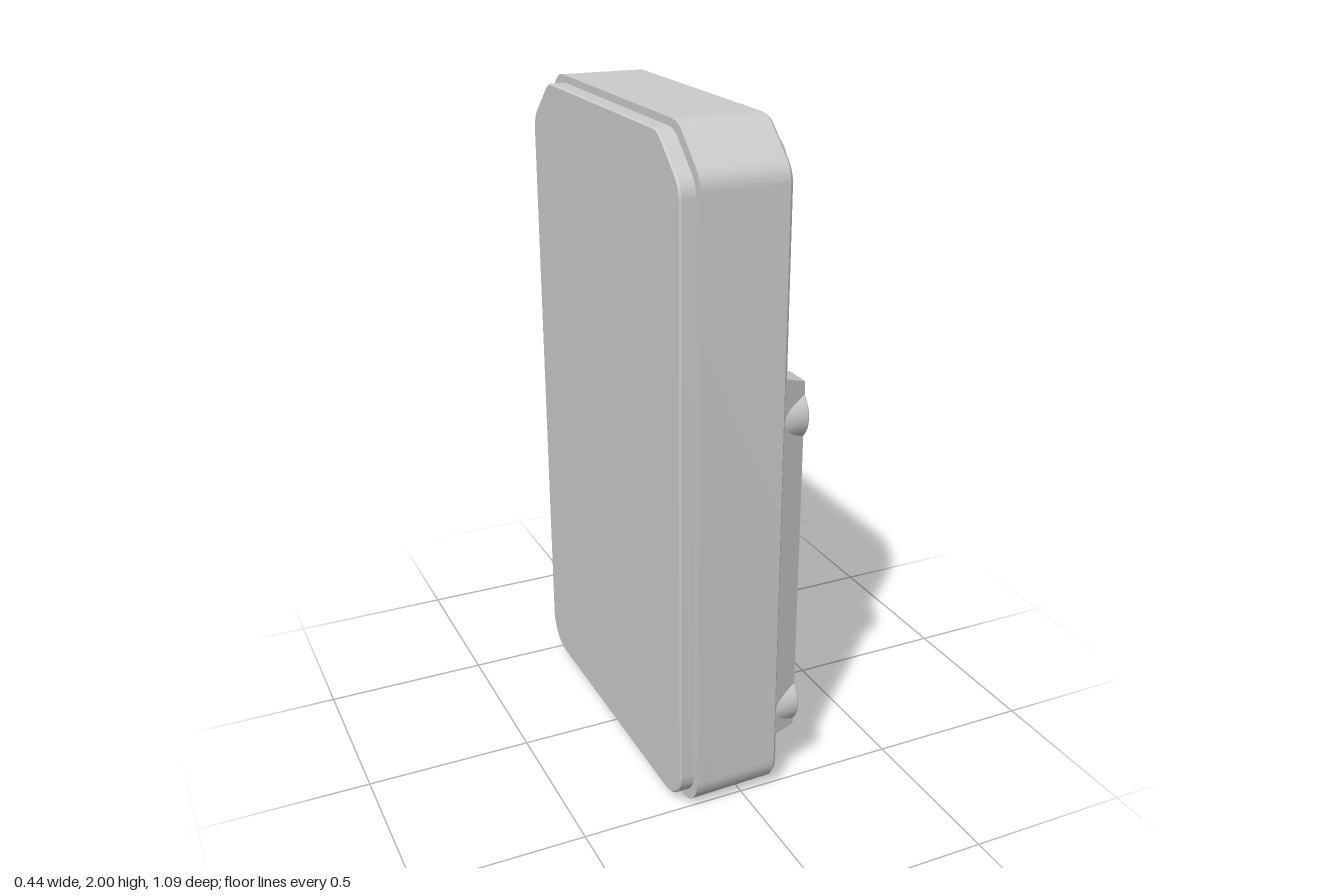
import * as THREE from 'three';
import { toCreasedNormals } from 'three/addons/utils/BufferGeometryUtils.js';

const V = (x, y) => new THREE.Vector2(x, y);
const material = new THREE.MeshStandardMaterial({ color: 0xcccccc });
const ARC_Y = 1.573; // centre of the round cut above the raised plate

// Completes a right-hand half outline (bottom to top) with its mirror image
const mirror = half => [...half, ...half.map(p => V(-p.x, p.y)).reverse()];

// Solid through equal-length outlines at rising depths, with optional holes in the last cap
function loft(levels, holes = []) {
  const pos = [];
  const tri = (...corners) => corners.forEach(([p, z]) => pos.push(p.x, p.y, z));
  for (let k = 0; k < levels.length - 1; k++) {
    const [a, za] = levels[k], [b, zb] = levels[k + 1];
    for (let i = 0; i < a.length; i++) {
      const j = (i + 1) % a.length;
      tri([a[i], za], [a[j], za], [b[j], zb]);
      tri([a[i], za], [b[j], zb], [b[i], zb]);
    }
  }
  const [first, z0] = levels[0], [last, z1] = levels[levels.length - 1];
  for (const [a, b, c] of THREE.ShapeUtils.triangulateShape(first, []))
    tri([first[a], z0], [first[c], z0], [first[b], z0]);
  const all = [...last, ...holes.flat()];
  for (const [a, b, c] of THREE.ShapeUtils.triangulateShape(last, holes))
    tri([all[a], z1], [all[b], z1], [all[c], z1]);
  const g = new THREE.BufferGeometry();
  g.setAttribute('position', new THREE.Float32BufferAttribute(pos, 3));
  return toCreasedNormals(g, 0.5);
}

// Case outline: rounded bottom corners, softened diagonal top corners
function caseOutline(inset) {
  const w = 0.54 - inset, t = 1.997 - inset, b = 0.003 + inset;
  const p = new THREE.Path();
  p.moveTo(w - 0.1, b);
  p.absarc(w - 0.1, b + 0.1, 0.1, -Math.PI / 2, 0, false);
  p.lineTo(w, t - 0.155);
  p.quadraticCurveTo(w, t - 0.12, w - 0.025, t - 0.095);
  p.lineTo(w - 0.11, t - 0.017);
  p.quadraticCurveTo(w - 0.13, t, w - 0.165, t);
  return mirror(p.getPoints(10));
}

// Right half of the round cut, from x inwards to just short of the middle
function cut(x, r) {
  const a = Math.asin(x / r), n = 20;
  return Array.from({ length: n }, (_, i) => {
    const t = a * (1 - i / n);
    return V(r * Math.sin(t), ARC_Y - r * Math.cos(t));
  });
}

// Raised plate outline with rounded notches in the bottom corners
function plateOutline(side, top, bottom, r) {
  const half = [V(0.35, bottom)];
  for (let i = 0; i <= 8; i++) {
    const a = Math.PI - (i / 8) * Math.PI / 2;
    half.push(V(0.43 + 0.08 * Math.cos(a), 0.115 + 0.08 * Math.sin(a)));
  }
  half.push(V(side, 0.195), V(side, top));
  return mirror([...half, ...cut(Math.sqrt(r * r - (ARC_Y - top) ** 2), r)]);
}

const panelOutline = (side, bottom, r) => mirror([V(side, bottom), ...cut(side, r)]);

const circle = (x, y, r) => Array.from({ length: 24 }, (_, i) =>
  V(x + r * Math.cos(i * Math.PI / 12), y + r * Math.sin(i * Math.PI / 12)));

// Fine raised line along an arc
function arcLine(x, y, r, from, to) {
  const s = new THREE.Shape();
  s.absarc(x, y, r + 0.003, from, to, false);
  s.absarc(x, y, r - 0.003, to, from, true);
  return new THREE.ExtrudeGeometry(s, { depth: 0.002, bevelEnabled: false, curveSegments: 32 });
}

export function createModel() {
  const root = new THREE.Group();
  root.name = 'handheldCase';
  const tilt = new THREE.Group();
  tilt.name = 'leaningCase';
  tilt.position.y = 1;
  tilt.rotation.set(0.0065, 0, 0.0065);
  root.add(tilt);
  // Parts are built facing +z, then turned to face +x
  const parts = new THREE.Group();
  parts.name = 'caseParts';
  parts.rotation.y = Math.PI / 2;
  parts.position.y = -1;
  tilt.add(parts);
  const add = (name, geometry, x = 0, y = 0, z = 0) => {
    const m = new THREE.Mesh(geometry, material);
    m.name = name;
    m.position.set(x, y, z);
    parts.add(m);
  };

  // Main case and the stepped cover behind it
  add('mainCase', loft([
    [caseOutline(0), -0.168], [caseOutline(0.003), 0.086], [caseOutline(0.008), 0.094]]));
  add('rearCover', loft([
    [caseOutline(0.025), -0.213], [caseOutline(0.021), -0.208], [caseOutline(0.021), -0.16]]));

  // Raised plate with screw holes, and the panel along its middle
  const screws = [-0.455, 0.455].flatMap(x => [0.275, 1.19].map(y => [x, y]));
  add('raisedPlate', loft([
    [plateOutline(0.535, 1.317, 0.008, 0.493), 0.09],
    [plateOutline(0.507, 1.29, 0.035, 0.51), 0.165]],
  screws.map(([x, y]) => circle(x, y, 0.06))));
  add('centrePanel', loft([
    [panelOutline(0.31, 0.034, 0.51), 0.162],
    [panelOutline(0.31, 0.053, 0.522), 0.208],
    [panelOutline(0.304, 0.058, 0.526), 0.213]]));

  // Screw bosses with countersunk holes
  const boss = new THREE.LatheGeometry([
    V(0.08, 0.09), V(0.08, 0.163), V(0.077, 0.1665), V(0.048, 0.1665),
    V(0.038, 0.155), V(0.038, 0.125), V(0, 0.125)], 32);
  boss.rotateX(Math.PI / 2);
  const bossGeometry = toCreasedNormals(boss, 0.5);
  for (const [x, y] of screws) add('screwBoss', bossGeometry, x, y);

  // Label frame on the centre panel
  for (const s of [-1, 1]) {
    add('labelFrameSide', new THREE.BoxGeometry(0.006, 0.766, 0.003), s * 0.255, 0.54, 0.2135);
    add('labelFrameEnd', new THREE.BoxGeometry(0.516, 0.006, 0.003), 0, 0.54 + s * 0.38, 0.2135);
  }

  // Fine ring, corner arcs and edge ticks on the upper face
  add('faceRing', arcLine(0, ARC_Y, 0.25, -Math.PI * 0.75, Math.PI * 0.75), 0, 0, 0.0935);
  for (const s of [-1, 1]) {
    const mid = s > 0 ? 0 : Math.PI;
    add('topCornerArc', arcLine(s * 0.43, 1.87, 0.07, mid - 1.4, mid + 1.4), 0, 0, 0.0935);
    add('notchArc', arcLine(s * 0.45, 0.1, 0.05, mid - 1.2, mid + 1.2), 0, 0, 0.0935);
    add('sideTick', new THREE.BoxGeometry(0.07, 0.005, 0.003), s * 0.485, ARC_Y, 0.0945);
  }
  add('topTick', new THREE.BoxGeometry(0.005, 0.03, 0.003), 0, 1.965, 0.0945);
  add('lowerTick', new THREE.BoxGeometry(0.005, 0.06, 0.003), 0, 1.13, 0.0945);
  return root;
}
